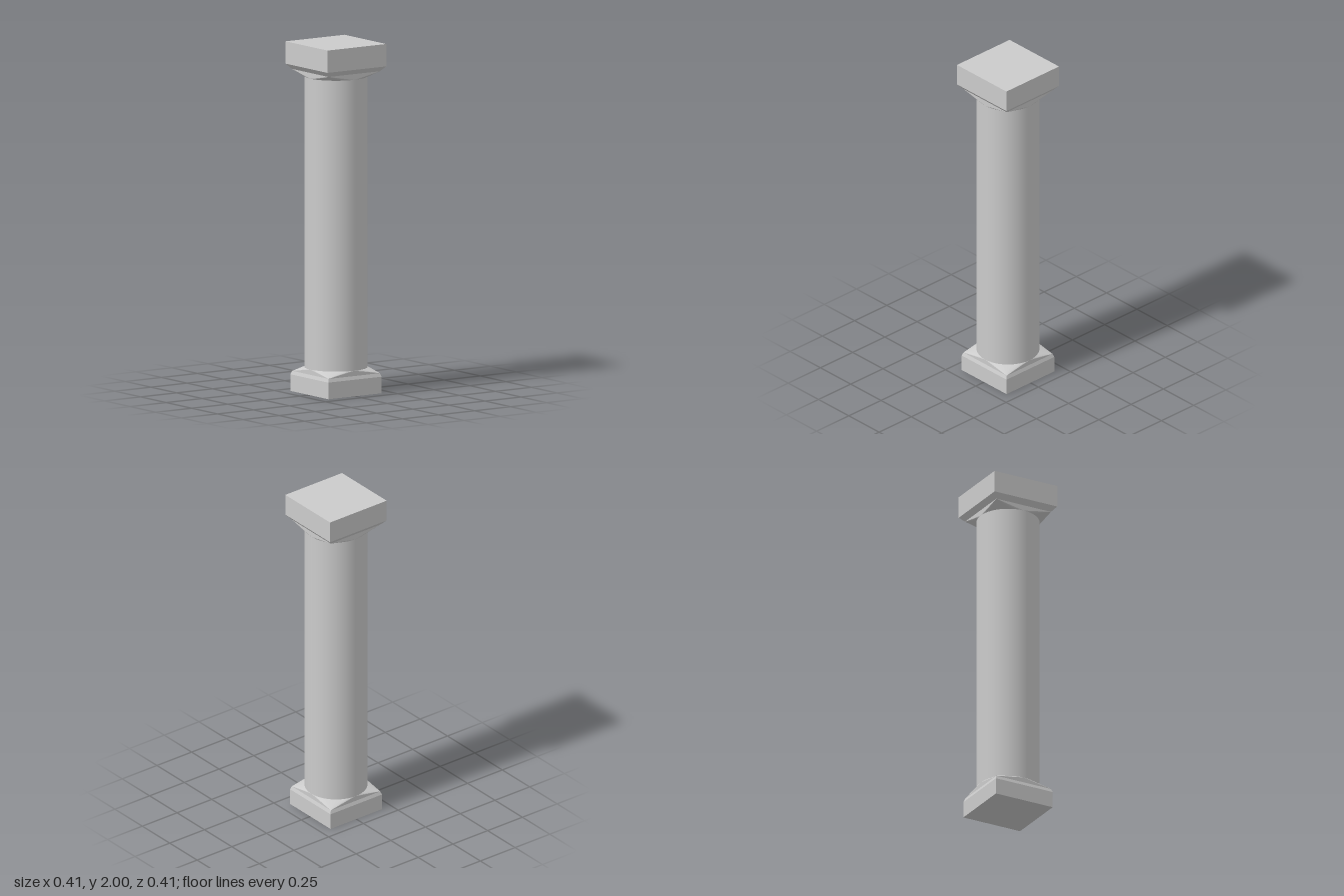
import * as THREE from 'three';

const R = 0.178; // shaft radius, also half width of the square where it meets the transition
const SEG = 48;

const flat = new THREE.MeshStandardMaterial({ color: 0xcccccc, flatShading: true });
const smooth = new THREE.MeshStandardMaterial({ color: 0xcccccc });

function add(group, name, geometry, material) {
  const mesh = new THREE.Mesh(geometry, material);
  mesh.name = name;
  group.add(mesh);
}

// Square block between two heights, with a half width at each end
function squareBlock(y0, y1, half0, half1) {
  return new THREE.CylinderGeometry(half1 * Math.SQRT2, half0 * Math.SQRT2, y1 - y0, 4)
    .rotateY(Math.PI / 4)
    .translate(0, (y0 + y1) / 2, 0);
}

// Facets joining a square at squareY to the round shaft at circleY
function squareToRound(squareY, circleY) {
  const points = [];
  const flip = circleY < squareY;
  const tri = (a, b, c) => points.push(...(flip ? [a, c, b] : [a, b, c]));
  const onCircle = (a) => new THREE.Vector3(R * Math.cos(a), circleY, R * Math.sin(a));
  const corner = (k) => {
    const a = (k + 0.5) * Math.PI / 2;
    return new THREE.Vector3(R * Math.SQRT2 * Math.cos(a), squareY, R * Math.SQRT2 * Math.sin(a));
  };
  const step = (Math.PI * 2) / SEG;
  for (let k = 0; k < 4; k++) {
    const start = k * Math.PI / 2;
    // upright triangle in the middle of the side
    tri(corner(k), corner(k - 1), onCircle(start));
    // fan from the corner to a quarter of the circle
    for (let i = 0; i < SEG / 4; i++) {
      tri(corner(k), onCircle(start + i * step), onCircle(start + (i + 1) * step));
    }
  }
  const geometry = new THREE.BufferGeometry().setFromPoints(points);
  geometry.computeVertexNormals();
  return geometry;
}

export function createModel() {
  const column = new THREE.Group();
  column.name = 'column';

  // Base: plinth, slight chamfer, then facets up to the shaft
  const base = new THREE.Group();
  base.name = 'base';
  add(base, 'plinth', squareBlock(0, 0.095, 0.185, 0.185), flat);
  add(base, 'plinthChamfer', squareBlock(0.095, 0.115, 0.185, R), flat);
  add(base, 'baseTransition', squareToRound(0.115, 0.145), flat);

  // Round shaft
  const shaft = new THREE.CylinderGeometry(R, R, 1.665, SEG, 1, true).translate(0, 0.9775, 0);
  add(column, 'shaft', shaft, smooth);

  // Capital: facets out to a square, chamfer, then the top slab
  const capital = new THREE.Group();
  capital.name = 'capital';
  add(capital, 'capitalTransition', squareToRound(1.843, 1.81), flat);
  add(capital, 'capitalChamfer', squareBlock(1.843, 1.872, R, 0.204), flat);
  add(capital, 'topSlab', squareBlock(1.872, 2, 0.204, 0.204), flat);

  column.add(base, capital);
  return column;
}
